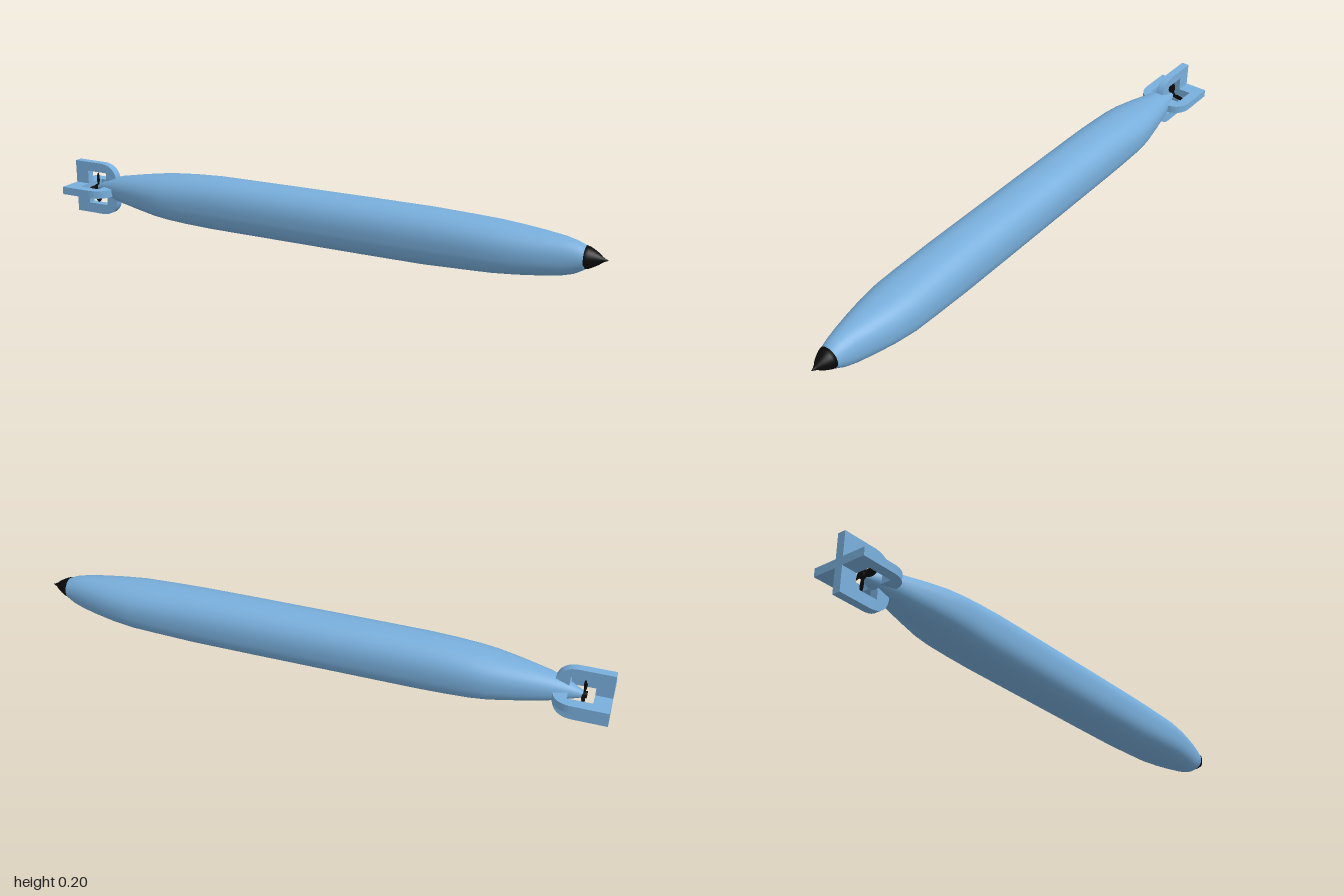
import * as THREE from 'three';

const blue = new THREE.MeshStandardMaterial({ color: 0x78aedb });
blue.name = 'hull blue';
const black = new THREE.MeshStandardMaterial({ color: 0x0a0a0a });
black.name = 'black';

const TAIL_Y = 0.0985;

// Closed skin over rounded-square rings; each station is [x, yBottom, yTop, halfWidth, squareness]
function loft(stations, sides) {
  const pos = [], index = [], n = stations.length;
  for (const [x, y0, y1, w, s] of stations) {
    const cy = (y0 + y1) / 2, h = (y1 - y0) / 2;
    for (let j = 0; j < sides; j++) {
      const a = (j / sides) * Math.PI * 2, c = Math.cos(a), d = Math.sin(a);
      const e = 2 / (2 + s * (d < 0 ? 0.6 : 0.25));
      pos.push(x, cy + Math.sign(d) * h * Math.abs(d) ** e, Math.sign(c) * w * Math.abs(c) ** e);
    }
  }
  for (let i = 0; i < n - 1; i++) {
    for (let j = 0; j < sides; j++) {
      const a = i * sides + j, b = i * sides + (j + 1) % sides;
      index.push(a, a + sides, b, b, a + sides, b + sides);
    }
  }
  // End caps
  for (const [ring, flip] of [[0, false], [n - 1, true]]) {
    const [x, y0, y1] = stations[ring], c = pos.length / 3;
    pos.push(x, (y0 + y1) / 2, 0);
    for (let j = 0; j < sides; j++) {
      const a = ring * sides + j, b = ring * sides + (j + 1) % sides;
      index.push(c, flip ? b : a, flip ? a : b);
    }
  }
  const g = new THREE.BufferGeometry();
  g.setAttribute('position', new THREE.Float32BufferAttribute(pos, 3));
  g.setIndex(index);
  g.computeVertexNormals();
  return g;
}

// Tail plate with rounded leading corners and a propeller window
function finGeometry() {
  const r = 0.0975, t = 0.028;
  const s = new THREE.Shape();
  s.moveTo(-1, -r);
  s.lineTo(-0.885, -r);
  s.bezierCurveTo(-0.845, -r, -0.815, -0.075, -0.815, -0.03);
  s.lineTo(-0.815, 0.03);
  s.bezierCurveTo(-0.815, 0.075, -0.845, r, -0.885, r);
  s.lineTo(-1, r);
  s.closePath();
  const hole = new THREE.Path();
  hole.moveTo(-0.945, -0.06);
  hole.lineTo(-0.945, 0.063);
  hole.lineTo(-0.862, 0.063);
  hole.lineTo(-0.862, -0.06);
  hole.closePath();
  s.holes.push(hole);
  return new THREE.ExtrudeGeometry(s, { depth: t, bevelEnabled: false, curveSegments: 10 })
    .translate(0, 0, -t / 2);
}

export function createModel() {
  const model = new THREE.Group();
  model.name = 'torpedo';
  const add = (name, geometry, material, parent = model) => {
    const m = new THREE.Mesh(geometry, material);
    m.name = name;
    parent.add(m);
    return m;
  };

  // Hull, from tail to nose
  add('hull', loft([
    [-0.91, 0.088, 0.109, 0.01, 0],
    [-0.87, 0.077, 0.13, 0.026, 0.2],
    [-0.80, 0.06, 0.155, 0.05, 0.5],
    [-0.70, 0.045, 0.173, 0.073, 0.8],
    [-0.62, 0.034, 0.185, 0.088, 1],
    [-0.56, 0.028, 0.192, 0.093, 1],
    [-0.48, 0.023, 0.199, 0.093, 1],
    [-0.38, 0.02, 0.204, 0.093, 1],
    [-0.10, 0.02, 0.205, 0.093, 1],
    [0.20, 0.02, 0.205, 0.093, 1],
    [0.42, 0.021, 0.204, 0.093, 1],
    [0.56, 0.027, 0.199, 0.093, 1],
    [0.65, 0.031, 0.195, 0.092, 1],
    [0.73, 0.037, 0.189, 0.083, 0.8],
    [0.80, 0.044, 0.183, 0.069, 0.6],
    [0.86, 0.052, 0.176, 0.055, 0.4],
    [0.90, 0.063, 0.167, 0.045, 0.2],
    [0.925, 0.077, 0.157, 0.038, 0],
    [0.94, 0.087, 0.15, 0.033, 0],
  ], 48), blue);

  // Black nose cap with a small spike
  const nose = [[0, -0.005], [0.037, -0.005], [0.034, 0.006], [0.027, 0.02], [0.018, 0.035],
    [0.009, 0.046], [0.005, 0.053], [0, 0.065]].map(([r, y]) => new THREE.Vector2(r, y));
  const cap = add('noseCap', new THREE.LatheGeometry(nose, 32), black);
  cap.rotation.z = -Math.PI / 2;
  cap.position.set(0.935, 0.119, 0);

  // Crossed tail fins
  const fin = finGeometry();
  add('verticalFin', fin, blue).position.y = TAIL_Y;
  const flat = add('horizontalFin', fin, blue);
  flat.position.y = TAIL_Y;
  flat.rotation.x = Math.PI / 2;

  // Propeller in the fin windows
  const propeller = new THREE.Group();
  propeller.name = 'propeller';
  propeller.position.set(-0.91, TAIL_Y, 0);
  model.add(propeller);
  add('propellerHub', new THREE.CylinderGeometry(0.012, 0.012, 0.02, 16).rotateZ(Math.PI / 2), black, propeller);
  for (let i = 0; i < 4; i++) {
    const arm = new THREE.Group();
    arm.name = 'propellerBlade';
    arm.rotation.x = i * Math.PI / 2;
    propeller.add(arm);
    const blade = add('blade', new THREE.SphereGeometry(1, 14, 10).scale(0.003, 0.025, 0.013), black, arm);
    blade.position.y = 0.032;
    blade.rotation.y = 0.35;
  }
  return model;
}
